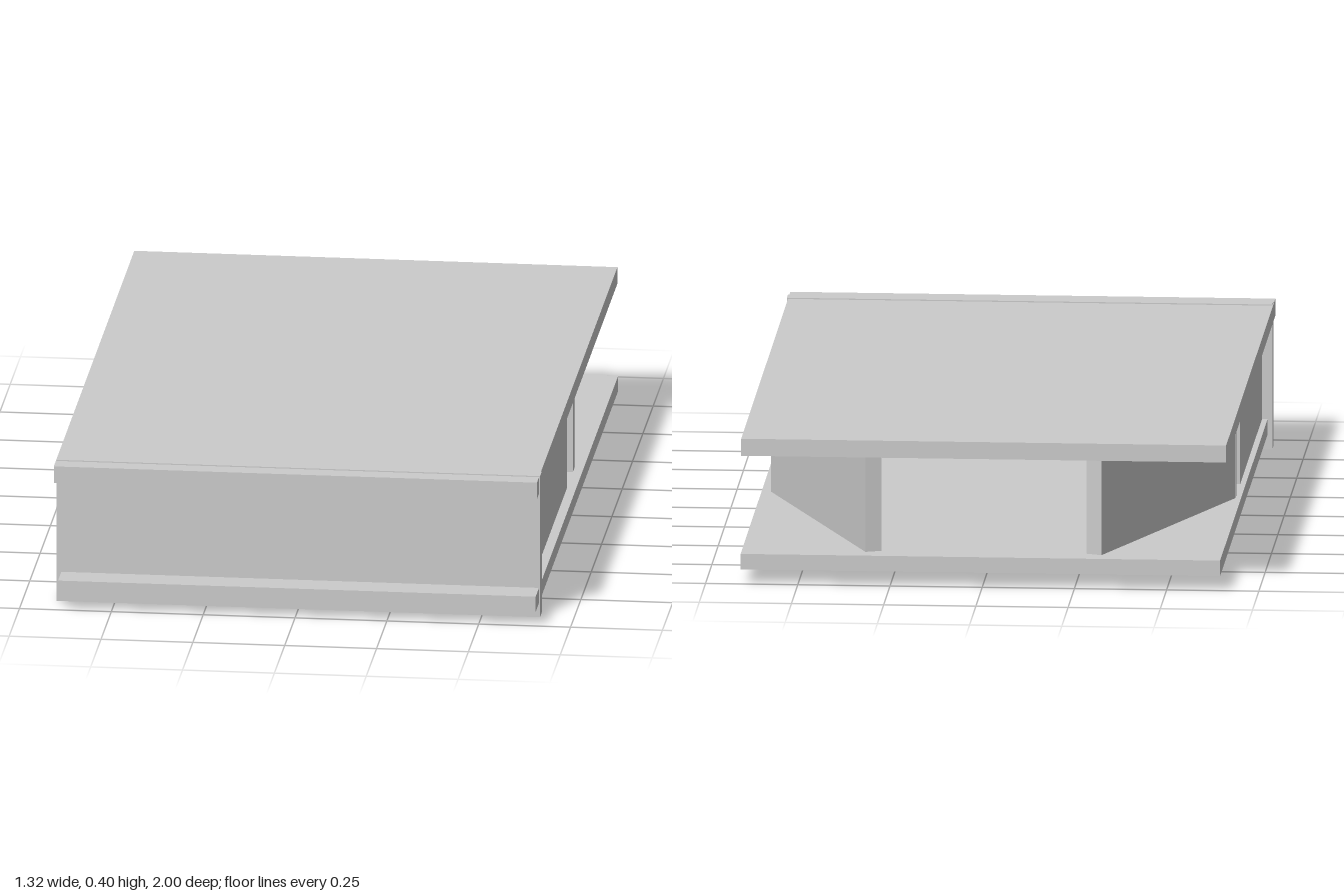
import * as THREE from 'three';

const grey = new THREE.MeshStandardMaterial({ color: 0xcccccc, flatShading: true });

// Box given by its limits on each axis
function slab(name, [x0, x1], [y0, y1], [z0, z1]) {
  const mesh = new THREE.Mesh(new THREE.BoxGeometry(x1 - x0, y1 - y0, z1 - z0), grey);
  mesh.position.set((x0 + x1) / 2, (y0 + y1) / 2, (z0 + z1) / 2);
  mesh.name = name;
  return mesh;
}

export function createModel() {
  const model = new THREE.Group();
  model.name = 'pavilion';

  const floorTop = 0.083, ceiling = 0.35, thickness = 0.045;
  const outer = 0.63, wallFront = 0.876, wallBack = -0.16;

  // Floor, roof and the full-height front wall that crosses both
  model.add(slab('floor', [-0.645, 0.655], [0.04, floorTop], [-1, 1]));
  model.add(slab('roof', [-0.66, 0.655], [ceiling, 0.397], [-0.98, 0.97]));
  model.add(slab('frontWall', [-0.658, 0.658], [0, 0.4], [wallFront, 0.92]));

  for (const side of [1, -1]) {
    const label = side > 0 ? 'left' : 'right';

    // Straight side wall with a doorway: profile in (z, y), extruded across x
    const profile = new THREE.Shape([
      [wallBack, floorTop], [-0.125, floorTop], [-0.125, 0.295], [0.015, 0.295],
      [0.015, floorTop], [wallFront, floorTop], [wallFront, ceiling], [wallBack, ceiling],
    ].map(([z, y]) => new THREE.Vector2(-z, y)));
    const geometry = new THREE.ExtrudeGeometry(profile, { depth: thickness, bevelEnabled: false });
    geometry.rotateY(Math.PI / 2);
    const wall = new THREE.Mesh(geometry, grey);
    wall.position.x = side > 0 ? outer - thickness : -outer;
    wall.name = label + 'SideWall';
    model.add(wall);

    // Angled rear wall running inwards from the end of the side wall
    const start = new THREE.Vector2(side * outer, -0.17);
    const end = new THREE.Vector2(side * 0.32, -0.95);
    const run = end.clone().sub(start);
    const length = run.length();
    const angled = new THREE.Mesh(new THREE.BoxGeometry(thickness, ceiling - floorTop, length), grey);
    const inward = new THREE.Vector2(run.y * side, -run.x * side).normalize();
    const middle = start.clone().add(end).multiplyScalar(0.5).addScaledVector(inward, thickness / 2);
    angled.position.set(middle.x, (floorTop + ceiling) / 2, middle.y);
    angled.rotation.y = Math.atan2(run.x, run.y);
    angled.name = label + 'AngledWall';
    model.add(angled);
  }
  return model;
}
